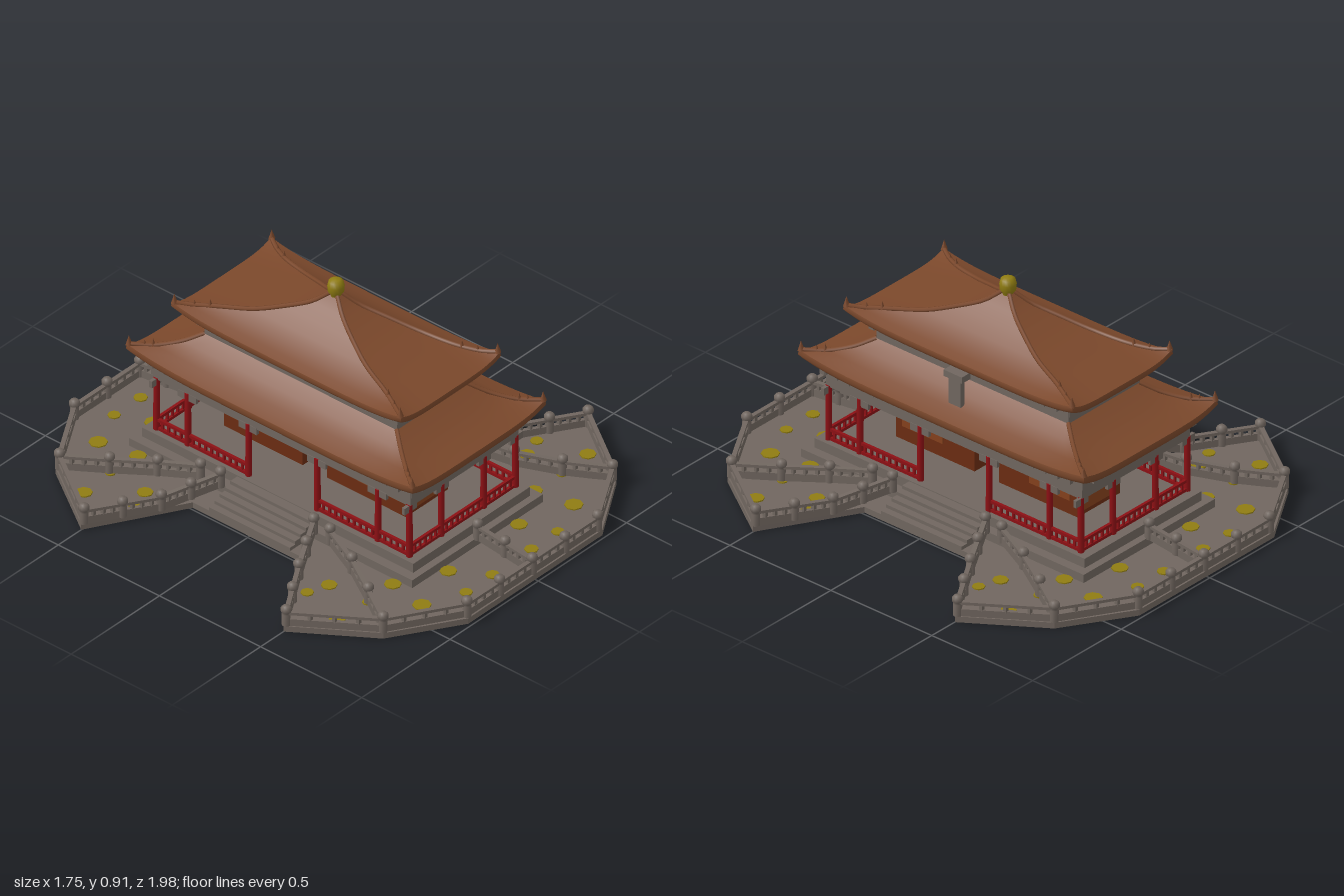
import * as THREE from 'three';

const material = (name, color, side = THREE.FrontSide) => {
  const m = new THREE.MeshStandardMaterial({ color, side });
  m.name = name;
  return m;
};
const stone = material('grey stone', 0x70665f);
const tile = material('brown roof tile', 0x7b482b, THREE.DoubleSide);
const soffitGrey = material('grey soffit', 0x6a615b, THREE.DoubleSide);
const red = material('red lacquer', 0x8c1014);
const wall = material('rust wall', 0x6b2c12);
const panel = material('light rust panel', 0x84401c);
const gold = material('dull gold', 0x8f7c12);

const V = (x, y, z) => new THREE.Vector3(x, y, z);
const SIGNS = [1, -1];

function add(parent, name, geometry, mat, x = 0, y = 0, z = 0) {
  const mesh = new THREE.Mesh(geometry, mat);
  mesh.name = name;
  mesh.position.set(x, y, z);
  parent.add(mesh);
  return mesh;
}
// Box given by its bottom height and top height
function block(parent, name, mat, w, d, y0, y1, x = 0, z = 0) {
  return add(parent, name, new THREE.BoxGeometry(w, y1 - y0, d), mat, x, (y0 + y1) / 2, z);
}
// Square bar between two points
function bar(parent, name, mat, a, b, w, h) {
  const mid = a.clone().add(b).multiplyScalar(0.5);
  const m = add(parent, name, new THREE.BoxGeometry(w, h, a.distanceTo(b)), mat, mid.x, mid.y, mid.z);
  m.lookAt(b);
  return m;
}
// Four-sided surface through rectangular rings [halfX, halfZ, y, cornerLift]
function ringSurface(parent, name, rings, mat) {
  const n = 24;
  for (let k = 0; k < 4; k++) {
    const pos = [], index = [];
    rings.forEach(([hx, hz, y, lift], j) => {
      const [along, out] = k % 2 ? [hz, hx] : [hx, hz];
      for (let i = 0; i <= n; i++) {
        const t = (i / n) * 2 - 1;
        const p = V(t * along, y + lift * Math.abs(t) ** 5, out).applyAxisAngle(V(0, 1, 0), k * Math.PI / 2);
        pos.push(p.x, p.y, p.z);
        if (j && i < n) {
          const b = j * (n + 1) + i, a = b - n - 1;
          index.push(a, b, a + 1, b, b + 1, a + 1);
        }
      }
    });
    const g = new THREE.BufferGeometry();
    g.setAttribute('position', new THREE.Float32BufferAttribute(pos, 3));
    g.setIndex(index);
    g.computeVertexNormals();
    add(parent, name, g, mat);
  }
}
// Hipped roof: tiles, eave edge, soffit, hip ridges and upturned ends
function roof(parent, name, rings, drop, soffitEnd) {
  const g = new THREE.Group();
  g.name = name;
  parent.add(g);
  const [hx, hz, y, lift] = rings[rings.length - 1];
  const lower = [hx - 0.008, hz - 0.008, y - drop, lift];
  ringSurface(g, 'roofTiles', rings, tile);
  ringSurface(g, 'eaveEdge', [[hx, hz, y, lift], [hx + 0.004, hz + 0.004, y - drop / 2, lift], lower], tile);
  ringSurface(g, 'soffit', [lower, soffitEnd], soffitGrey);
  for (const sx of SIGNS) for (const sz of SIGNS) {
    const pts = rings.map(r => V(sx * r[0], r[2] + r[3] + 0.003, sz * r[1]));
    const curve = new THREE.CatmullRomCurve3(pts);
    add(g, 'hipRidge', new THREE.TubeGeometry(curve, 20, 0.009, 6), tile);
    for (const [t, s] of [[0.7, 0.011], [0.8, 0.009], [0.98, 0.014]]) {
      const p = curve.getPoint(t);
      add(g, 'ridgeOrnament', new THREE.ConeGeometry(s, s * 3, 6), tile, p.x, p.y + s * 1.2, p.z);
    }
  }
}

const postShape = new THREE.LatheGeometry([[0.017, 0], [0.017, 0.05], [0.013, 0.054], [0.021, 0.062],
  [0.021, 0.076], [0.013, 0.085], [0, 0.087]].map(p => new THREE.Vector2(...p)), 10);

// Stone balustrade following a path, with domed posts and an open top strip
function balustrade(parent, points, spans) {
  const g = new THREE.Group();
  g.name = 'balustrade';
  parent.add(g);
  for (let i = 0; i + 1 < points.length; i++) {
    const [a, b] = [points[i], points[i + 1]];
    const lift = (p, h) => p.clone().add(V(0, h, 0));
    bar(g, 'topRail', stone, lift(a, 0.055), lift(b, 0.055), 0.018, 0.012);
    bar(g, 'railPanel', stone, lift(a, 0.014), lift(b, 0.014), 0.016, 0.032);
    for (let s = 0; s <= spans; s++) {
      const p = a.clone().lerp(b, s / spans);
      add(g, 'post', postShape, stone, p.x, p.y, p.z);
      for (let q = 1; q < 4 && s < spans; q++) {
        const c = a.clone().lerp(b, (s + q / 4) / spans);
        block(g, 'baluster', stone, 0.014, 0.014, c.y + 0.025, c.y + 0.052, c.x, c.z);
      }
    }
  }
}

export function createModel() {
  const model = new THREE.Group();
  model.name = 'pavilion';

  // Ground slab with fan-shaped ends
  const quarter = [[0.49, 0.28], [0.87, 0.5], [0.66, 0.81], [0.38, 0.985]];
  const back = [...quarter].reverse();
  const outline = [...quarter, ...back.map(([x, z]) => [-x, z]),
    ...quarter.map(([x, z]) => [-x, -z]), ...back.map(([x, z]) => [x, -z])];
  const slab = new THREE.ExtrudeGeometry(new THREE.Shape(outline.map(p => new THREE.Vector2(...p))),
    { depth: 0.025, bevelEnabled: false });
  add(model, 'groundSlab', slab.rotateX(-Math.PI / 2), stone);

  // Podium and side steps
  block(model, 'lowerPodium', stone, 0.74, 1.4, 0.02, 0.06);
  block(model, 'upperPodium', stone, 0.66, 1.34, 0.06, 0.1);
  for (const sx of SIGNS) {
    for (let i = 0; i < 5; i++)
      block(model, 'sideStep', stone, 0.16 - i * 0.03, 0.4, 0.02, 0.04 + i * 0.014, sx * (0.41 - i * 0.015));
  }

  // Balustrades on the rim and across the terraces
  const base = 0.025;
  for (const sz of SIGNS) {
    balustrade(model, [V(-0.37, base, sz * 0.97), V(0, base, sz * 0.97), V(0.37, base, sz * 0.97)], 2);
    balustrade(model, [V(0, base, sz * 0.97), V(0, 0.055, sz * 0.7)], 2);
    for (const sx of SIGNS) {
      balustrade(model, [V(sx * 0.37, base, sz * 0.97), V(sx * 0.65, base, sz * 0.8), V(sx * 0.855, base, sz * 0.5)], 1);
      balustrade(model, [V(sx * 0.855, base, sz * 0.5), V(sx * 0.6, base, sz * 0.34), V(sx * 0.39, 0.07, sz * 0.23)], 2);
      balustrade(model, [V(sx * 0.65, base, sz * 0.8), V(sx * 0.55, 0.03, sz * 0.64),
        V(sx * 0.46, 0.045, sz * 0.48), V(sx * 0.4, 0.07, sz * 0.32)], 1);
    }
  }

  // Gold patches on the terrace floor: x, z, radius
  const patches = [[0.43, 0.8, 0.036], [0.26, 0.87, 0.025], [0.11, 0.87, 0.027], [0.2, 0.73, 0.033],
    [0.56, 0.455, 0.031], [0.65, 0.425, 0.025], [0.71, 0.625, 0.032], [0.4, 0.63, 0.033], [0.55, 0.635, 0.02]];
  for (const [x, z, r] of patches) for (const sx of SIGNS) for (const sz of SIGNS)
    add(model, 'goldPatch', new THREE.CylinderGeometry(r, r, 0.006, 8), gold, sx * x, 0.027, sz * z);

  // Inner hall with a passage through the middle
  for (const sz of SIGNS) block(model, 'hallWall', wall, 0.24, 0.39, 0.1, 0.34, 0, sz * 0.255);
  block(model, 'doorLintel', wall, 0.24, 0.13, 0.235, 0.34);
  block(model, 'doorMullion', wall, 0.015, 0.01, 0.1, 0.235);
  for (const s of SIGNS) {
    for (const z of [-0.315, 0.315]) block(model, 'sidePanel', panel, 0.006, 0.2, 0.16, 0.31, s * 0.122, z);
    block(model, 'endPanel', panel, 0.18, 0.006, 0.12, 0.28, 0, s * 0.452);
  }

  // Red columns, grey corner brackets and low railings
  const column = new THREE.CylinderGeometry(0.012, 0.013, 0.24, 10);
  const spots = [];
  for (const s of SIGNS) {
    for (const x of [-0.3, -0.12, 0.12, 0.3]) spots.push([x, s * 0.625, 1]);
    for (const z of [-0.47, -0.17, 0.17, 0.47]) spots.push([s * 0.3, z, 0]);
  }
  for (const [x, z, alongX] of spots) {
    add(model, 'column', column, red, x, 0.215, z);
    const [w, d] = alongX ? [0.07, 0.014] : [0.014, 0.09];
    block(model, 'columnBracket', stone, w, d, 0.305, 0.335, x, z);
  }
  const railing = (a, b) => {
    for (const y of [0.107, 0.145]) bar(model, 'redRail', red, V(a[0], y, a[1]), V(b[0], y, b[1]), 0.012, 0.012);
    const n = Math.round(Math.hypot(b[0] - a[0], b[1] - a[1]) / 0.03);
    for (let i = 1; i < n; i++)
      block(model, 'redBaluster', red, 0.009, 0.009, 0.1, 0.145,
        a[0] + (b[0] - a[0]) * i / n, a[1] + (b[1] - a[1]) * i / n);
  };
  for (const s of SIGNS) {
    railing([-0.3, s * 0.625], [0.3, s * 0.625]);
    for (const sx of SIGNS) railing([sx * 0.3, s * 0.17], [sx * 0.3, s * 0.625]);
  }

  // Frieze with rows of bracket blocks under both eaves
  block(model, 'frieze', stone, 0.61, 1.27, 0.33, 0.43);
  block(model, 'upperWall', stone, 0.4, 0.95, 0.46, 0.66);
  const blocks = (hx, hz, y0, y1, step) => {
    for (const s of SIGNS) {
      for (let x = -hx; x <= hx + 0.001; x += 2 * hx / Math.round(2 * hx / step))
        block(model, 'eaveBracket', stone, 0.025, 0.03, y0, y1, x, s * hz);
      for (let z = -hz; z <= hz + 0.001; z += 2 * hz / Math.round(2 * hz / step))
        block(model, 'eaveBracket', stone, 0.03, 0.025, y0, y1, s * hx, z);
    }
  };
  blocks(0.308, 0.638, 0.385, 0.425, 0.06);
  blocks(0.208, 0.483, 0.595, 0.64, 0.06);

  // Lower skirt roof
  roof(model, 'lowerRoof', [[0.2, 0.475, 0.55, 0], [0.25, 0.54, 0.512, 0], [0.31, 0.62, 0.48, 0.008],
    [0.375, 0.705, 0.458, 0.03]], 0.036, [0.3, 0.63, 0.4, 0]);

  // Upper roof sweeping to a point
  roof(model, 'upperRoof', [[0.012, 0.016, 0.85, 0], [0.05, 0.075, 0.802, 0], [0.1, 0.17, 0.762, 0],
    [0.15, 0.28, 0.724, 0], [0.2, 0.42, 0.694, 0.004], [0.245, 0.51, 0.676, 0.012], [0.28, 0.565, 0.665, 0.028]],
    0.032, [0.2, 0.475, 0.615, 0]);

  // Gold finial
  const finial = [[0.02, 0.835], [0.022, 0.848], [0.031, 0.86], [0.033, 0.885], [0.028, 0.905], [0.015, 0.912], [0, 0.913]];
  add(model, 'finial', new THREE.LatheGeometry(finial.map(p => new THREE.Vector2(...p)), 16), gold);

  // Blank sign board hanging under the upper eave
  block(model, 'signBoard', stone, 0.022, 0.06, 0.49, 0.62, 0.29);
  block(model, 'signBoardTop', stone, 0.05, 0.09, 0.605, 0.632, 0.287);

  return model;
}
